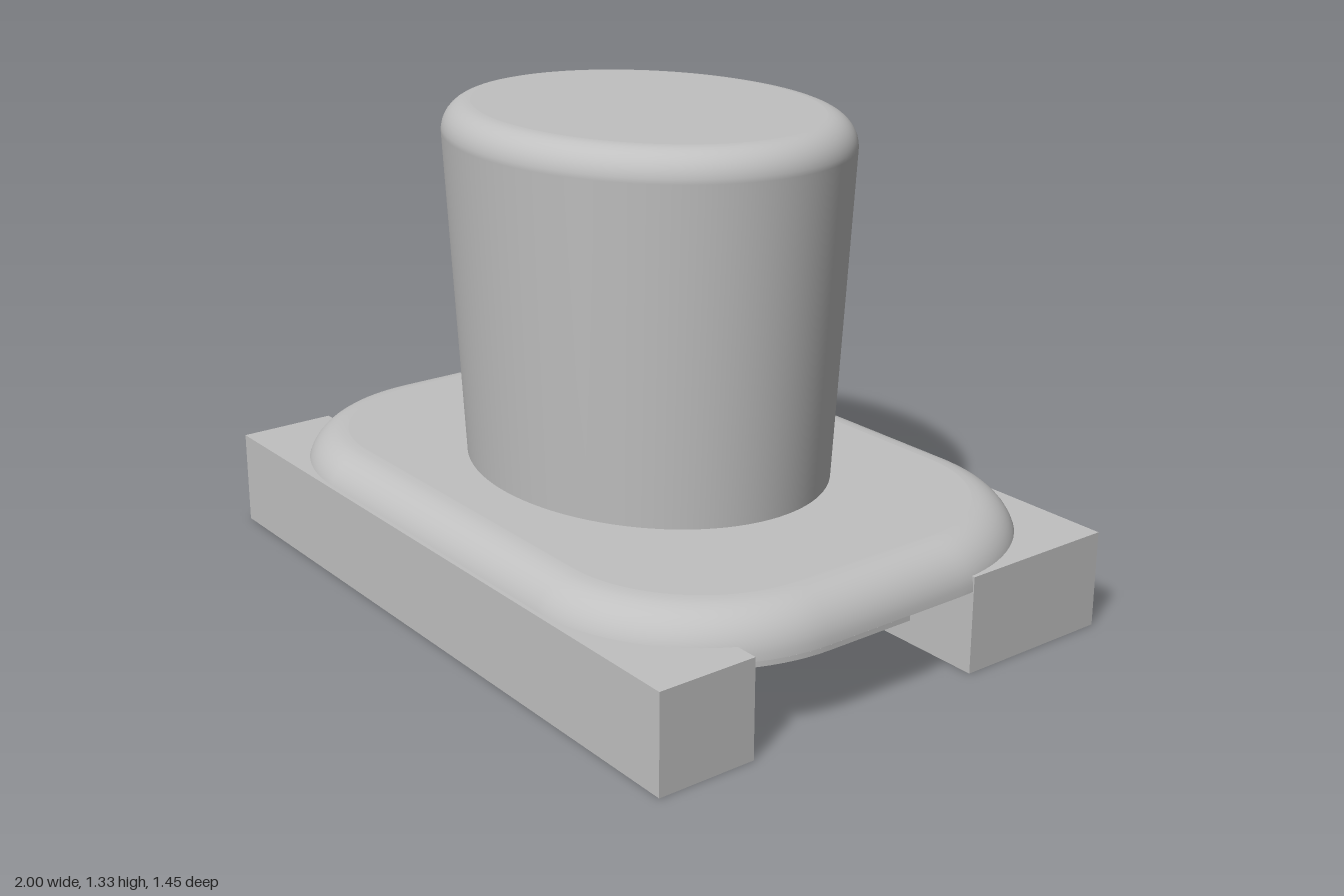
import * as THREE from 'three';

const SEGMENTS = 96;

// Outline of a rounded rectangle, running from +x towards +z
function roundedRect(halfX, halfZ, radius) {
  const points = [];
  const per = SEGMENTS / 4;
  const signs = [[1, 1], [-1, 1], [-1, -1], [1, -1]];
  signs.forEach(([sx, sz], q) => {
    for (let i = 0; i <= per; i++) {
      const a = (q + i / per) * Math.PI / 2;
      points.push([
        sx * (halfX - radius) + radius * Math.cos(a),
        sz * (halfZ - radius) + radius * Math.sin(a),
      ]);
    }
  });
  return points;
}

function ellipse(radiusX, radiusZ) {
  return Array.from({ length: SEGMENTS }, (_, i) => {
    const a = i / SEGMENTS * Math.PI * 2;
    return [radiusX * Math.cos(a), radiusZ * Math.sin(a)];
  });
}

// Skin a stack of closed outlines {y, points}, with separate flat caps for crisp edges
function loft(rings) {
  const position = [], index = [];
  const n = rings[0].points.length;
  const addRing = ({ y, points }) => {
    const start = position.length / 3;
    points.forEach(([x, z]) => position.push(x, y, z));
    return start;
  };
  rings.forEach(addRing);
  for (let r = 0; r < rings.length - 1; r++) {
    for (let j = 0; j < n; j++) {
      const a = r * n + j, b = r * n + (j + 1) % n;
      index.push(a, a + n, b, b, a + n, b + n);
    }
  }
  [rings[0], rings[rings.length - 1]].forEach((ring, top) => {
    const start = addRing(ring);
    const centre = position.length / 3;
    const mid = axis => ring.points.reduce((s, p) => s + p[axis], 0) / n;
    position.push(mid(0), ring.y, mid(1));
    for (let j = 0; j < n; j++) {
      const a = start + j, b = start + (j + 1) % n;
      index.push(centre, top ? b : a, top ? a : b);
    }
  });
  const geometry = new THREE.BufferGeometry();
  geometry.setAttribute('position', new THREE.Float32BufferAttribute(position, 3));
  geometry.setIndex(index);
  geometry.computeVertexNormals();
  return geometry;
}

// Rings for a quarter-round top edge
function roundedEdge(y, radius, outline, steps = 10) {
  return Array.from({ length: steps + 1 }, (_, i) => {
    const a = i / steps * Math.PI / 2;
    return { y: y + radius * Math.sin(a), points: outline(radius * (1 - Math.cos(a))) };
  });
}

export function createModel() {
  const model = new THREE.Group();
  const grey = new THREE.MeshStandardMaterial({ color: 0xc0c0c0 });
  grey.name = 'grey';

  const add = (name, geometry) => {
    const mesh = new THREE.Mesh(geometry, grey);
    mesh.name = name;
    model.add(mesh);
  };

  // Two rails under the plate, the back one wider
  const rail = (name, z0, z1) => {
    const geometry = new THREE.BoxGeometry(2, 0.265, z1 - z0);
    geometry.translate(0, 0.1325, (z0 + z1) / 2);
    add(name, geometry);
  };
  rail('frontRail', 0.447, 0.723);
  rail('backRail', -0.723, -0.262);

  // Base plate with a rounded upper edge
  const plateOutline = inset => roundedRect(1 - inset, 0.718 - inset, 0.5 - inset);
  add('basePlate', loft(roundedEdge(0.225, 0.12, plateOutline)));

  // Shallow step beneath the plate, following its outline
  const stepOutline = plateOutline(0)
    .map(([x, z]) => [x, THREE.MathUtils.clamp(z, -0.042, 0.45)])
    .filter(([x, z]) => z < 0.45 || Math.abs(x) > 0.93);
  add('undersideStep', loft([
    { y: 0.212, points: stepOutline },
    { y: 0.226, points: stepOutline },
  ]));

  // Oval post, flaring upwards to a rounded rim
  const postOutline = inset => ellipse(0.611 - inset, 0.505 - inset);
  add('ovalPost', loft([
    { y: 0.335, points: ellipse(0.56, 0.46) },
    ...roundedEdge(1.245, 0.08, postOutline),
  ]));

  return model;
}
